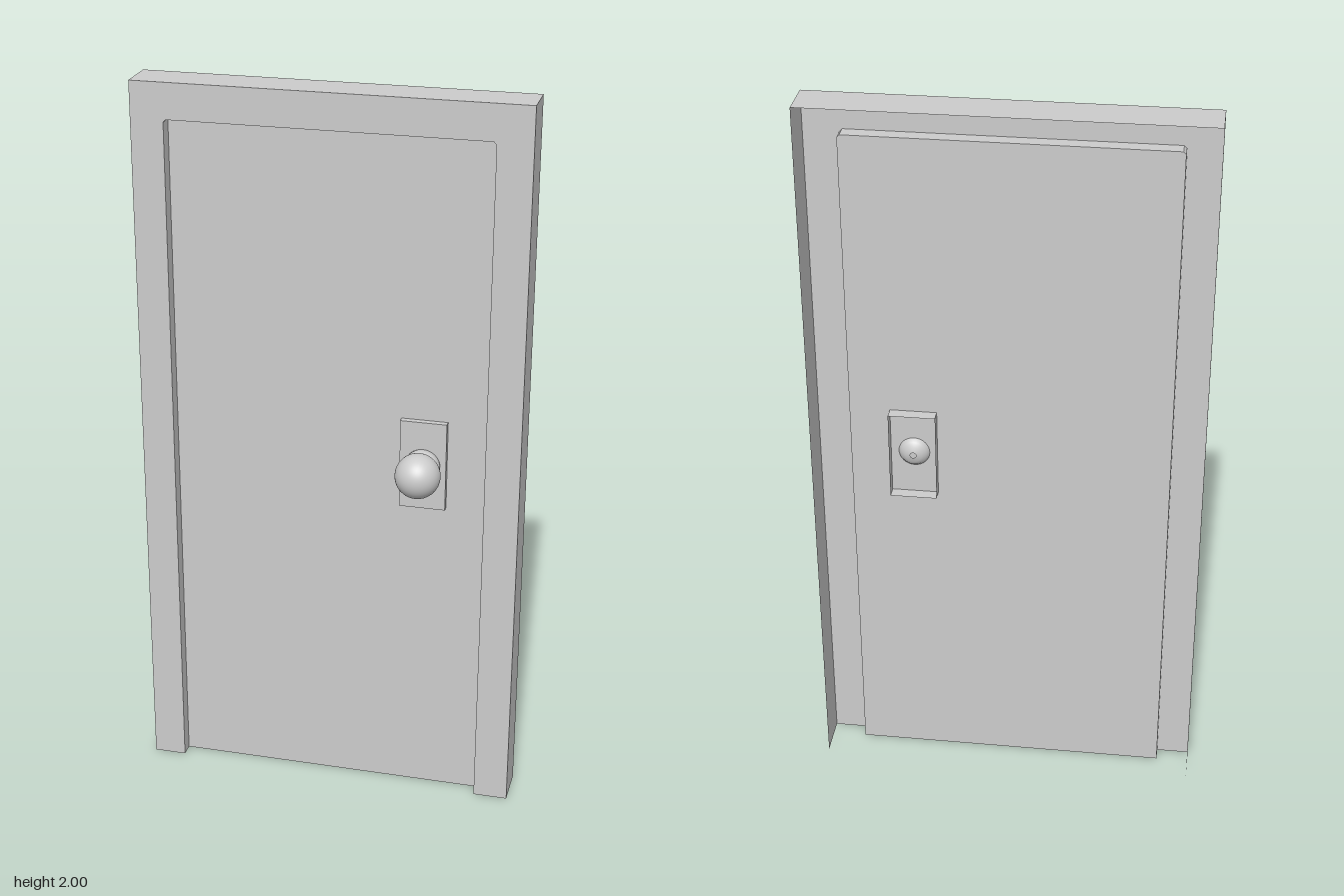
import * as THREE from 'three';

const material = new THREE.MeshStandardMaterial({ color: 0xcccccc, side: THREE.DoubleSide });

function add(parent, name, geometry) {
  const mesh = new THREE.Mesh(geometry, material);
  mesh.name = name;
  parent.add(mesh);
  return mesh;
}

// Flat-shaded wall that follows an xy path between two depths
function wall(path, zFront, zBack) {
  const pos = [];
  for (let i = 0; i < path.length - 1; i++) {
    const [ax, ay] = path[i], [bx, by] = path[i + 1];
    pos.push(ax, ay, zFront, ax, ay, zBack, bx, by, zBack);
    pos.push(ax, ay, zFront, bx, by, zBack, bx, by, zFront);
  }
  const geometry = new THREE.BufferGeometry();
  geometry.setAttribute('position', new THREE.Float32BufferAttribute(pos, 3));
  geometry.computeVertexNormals();
  return geometry;
}

// Flat face filling an xy outline at one depth
function face(path, z) {
  const shape = new THREE.Shape(path.map(([x, y]) => new THREE.Vector2(x, y)));
  return new THREE.ShapeGeometry(shape).translate(0, 0, z);
}

export function createModel() {
  const model = new THREE.Group();
  model.name = 'door';

  const halfWidth = 0.522, height = 2;
  const frameFront = 0.005, frameBack = -0.111, panelZ = -0.034;

  // Outlines run from the lower right corner, over the top, to the lower left
  const outer = [[halfWidth, 0], [halfWidth, height], [-halfWidth, height], [-halfWidth, 0]];
  const L = -0.433, R = 0.428, T = 1.903, c = 0.007;
  const opening = [[R, 0], [R, T - c], [R - c, T], [L + c, T], [L, T - c], [L, 0]];

  // Frame: open at the back and at the bottom
  const frame = new THREE.Group();
  frame.name = 'frame';
  model.add(frame);
  add(frame, 'frameFront', face([...outer, ...[...opening].reverse()], frameFront));
  add(frame, 'frameOuterWalls', wall(outer, frameFront, frameBack));
  add(frame, 'frameReveal', wall([...opening].reverse(), frameFront, panelZ));

  // Recessed door leaf
  add(model, 'doorPanel', face(opening, panelZ));

  // Lock plate: shallow box passing through the leaf, open at the back
  const knobX = 0.256, knobY = 1;
  const px = 0.063, py = 0.125, plateFront = -0.016, plateBack = -0.068;
  const plateOutline = [[px, -py], [px, py], [-px, py], [-px, -py], [px, -py]]
    .map(([x, y]) => [x + knobX, y + knobY]);
  const plate = new THREE.Group();
  plate.name = 'lockPlate';
  model.add(plate);
  add(plate, 'plateFace', face(plateOutline.slice(0, 4), plateFront));
  add(plate, 'plateWalls', wall(plateOutline, plateFront, plateBack));

  // Knob neck: rounded bulb with a small hole at its rear end
  const neckProfile = [
    [0.008, -0.056], [0.022, -0.053], [0.034, -0.045], [0.042, -0.034],
    [0.047, -0.02], [0.05, -0.005], [0.05, 0.004], [0.045, 0.014],
  ].map(([r, z]) => new THREE.Vector2(r, z));
  const knob = new THREE.Group();
  knob.name = 'knob';
  knob.position.set(knobX, knobY, 0);
  model.add(knob);
  add(knob, 'knobNeck', new THREE.LatheGeometry(neckProfile, 32).rotateX(Math.PI / 2));

  // Ball, cut off where it meets the neck
  const ball = new THREE.SphereGeometry(0.061, 32, 20, 0, Math.PI * 2, 0, 2.25);
  add(knob, 'knobBall', ball.rotateX(Math.PI / 2).translate(0, 0, 0.05));

  return model;
}
